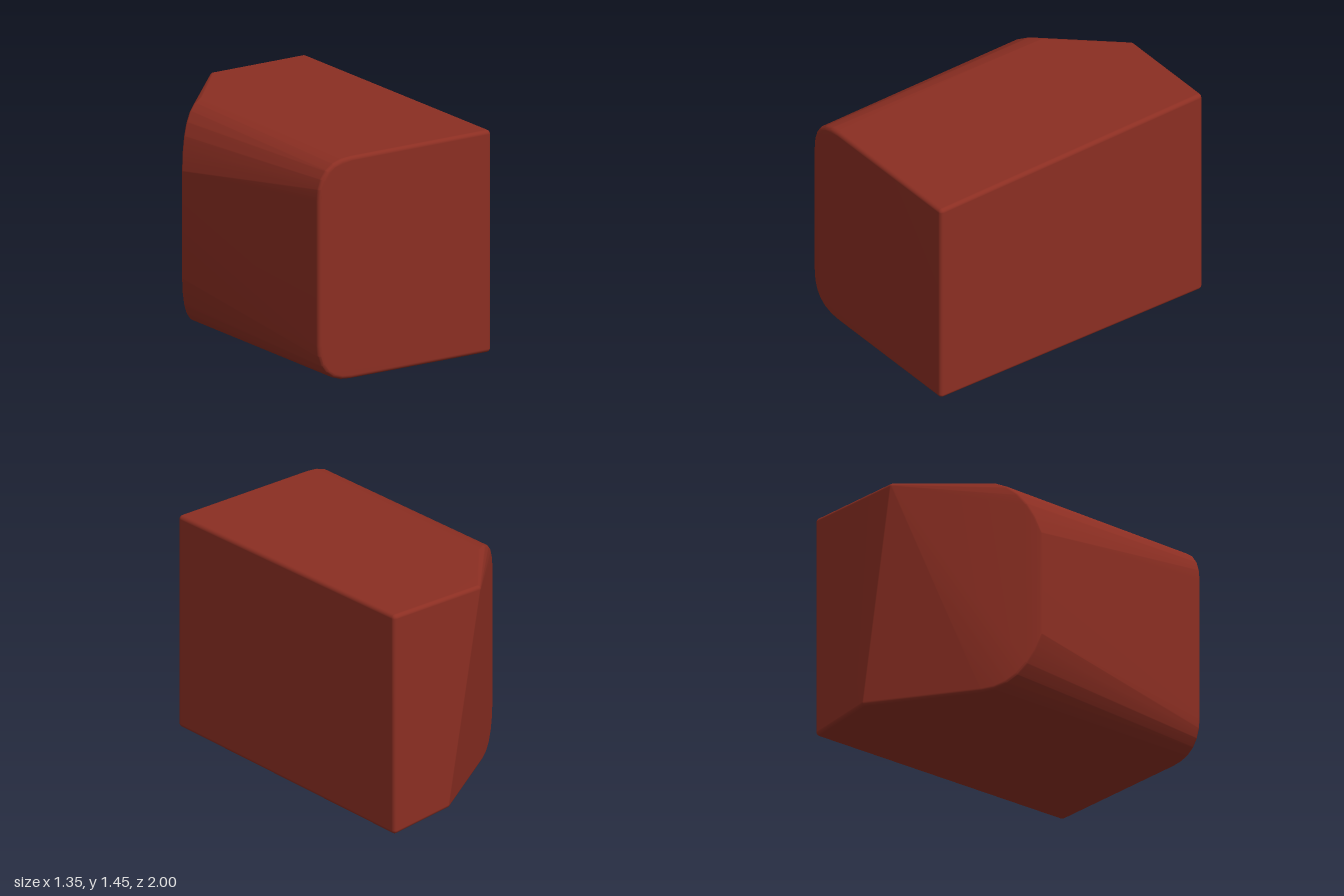
import * as THREE from 'three';
import { ConvexGeometry } from 'three/addons/geometries/ConvexGeometry.js';
import { mergeVertices } from 'three/addons/utils/BufferGeometryUtils.js';

const R = 0.025; // edge rounding
const MID = 0.75; // height of the mirror plane between upper and lower halves
const v = (x, y, z) => new THREE.Vector3(x, y, z);
const flip = (p) => v(p.x, 2 * MID - p.y, p.z);

// points along a curved corner from a to b
const corner = (a, c, b) => new THREE.QuadraticBezierCurve3(a, c, b).getPoints(6);

export function createModel() {
  const group = new THREE.Group();

  // rounded corners on the right side: front end and where the back chamfer starts
  const front = corner(v(-0.38, 1.45, 1), v(-0.6, 1.45, 1), v(-0.6, 1.23, 1));
  const rear = corner(v(-0.4, 1.45, -0.6), v(-0.61, 1.45, -0.46), v(-0.675, 1.11, -0.37));
  const arcs = [...front, ...rear];
  const corners = [
    ...arcs, ...arcs.map(flip),
    v(0.67, 1.45, 1), v(0.67, 0.05, 1), // left front
    v(0.67, 1.45, -1), v(0.67, 0, -1), // left back, dipping at the bottom
    v(-0.04, 1.45, -1), v(0.21, 0.05, -1), // slanted edge of the back face
  ];

  // a small ball at every corner, wrapped in a hull, gives rounded edges
  const ball = new THREE.SphereGeometry(R, 16, 12).deleteAttribute('normal').deleteAttribute('uv');
  const ballPos = mergeVertices(ball, 1e-5).getAttribute('position');
  const points = [];
  for (const p of corners) {
    const c = v(p.x - Math.sign(p.x) * R, p.y - Math.sign(p.y - MID) * R, p.z - Math.sign(p.z) * R);
    if (p.x === -0.04) c.x = p.x + R;
    if (p.x === 0.21) c.x = p.x + R;
    for (let i = 0; i < ballPos.count; i++) {
      points.push(new THREE.Vector3().fromBufferAttribute(ballPos, i).add(c));
    }
  }
  const hull = new ConvexGeometry(points);
  hull.deleteAttribute('normal');
  const geometry = mergeVertices(hull, 1e-5);
  geometry.computeVertexNormals(); // area weighted, so large faces stay flat

  const block = new THREE.Mesh(geometry, new THREE.MeshStandardMaterial({ color: 0x8b2e22 }));
  block.name = 'roundedBlock';
  group.add(block);
  return group;
}
